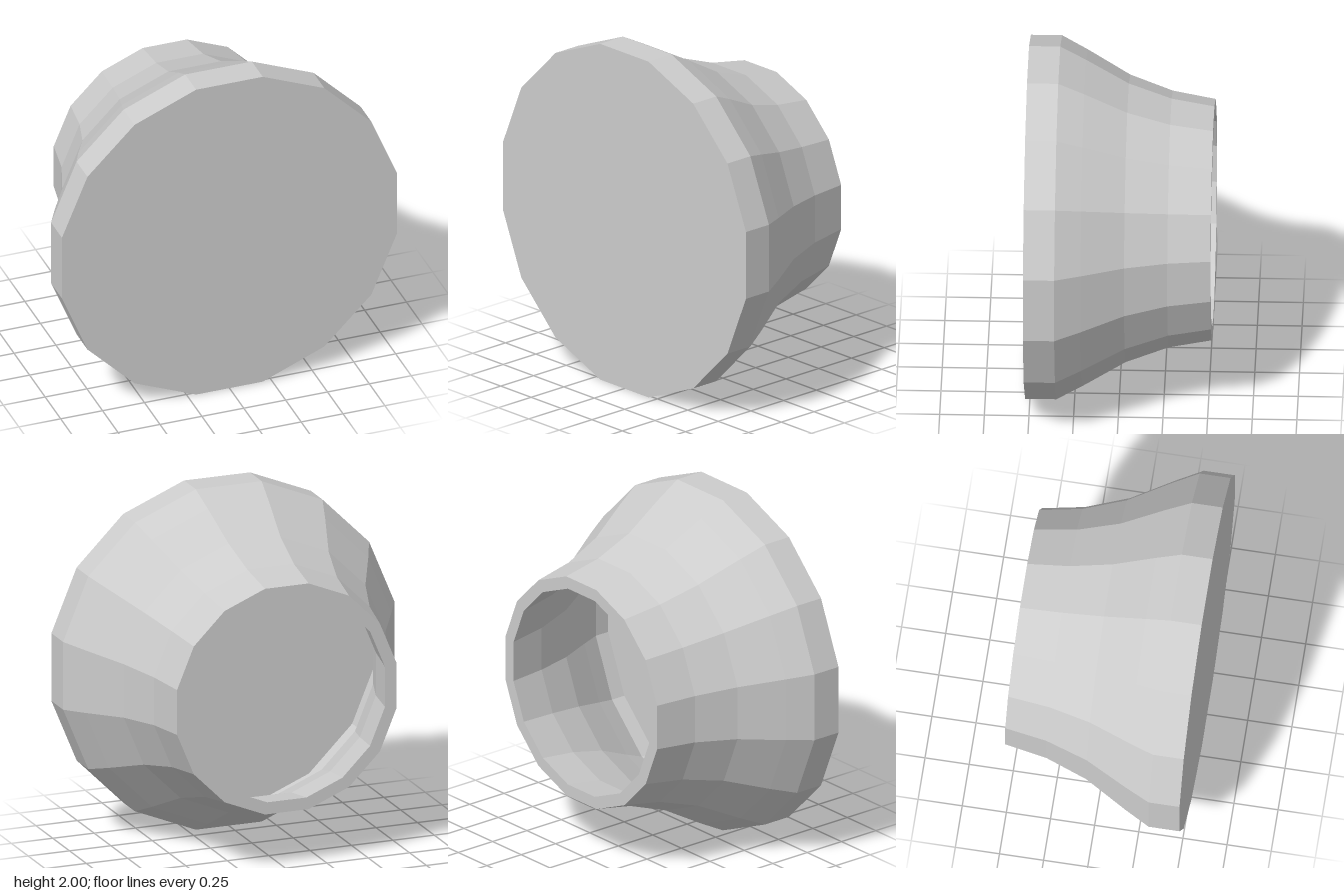
import * as THREE from 'three';

const SIDES = 16;
const FLAT = Math.cos(Math.PI / SIDES); // flat-to-flat radius / corner radius

export function createModel() {
  const model = new THREE.Group();
  model.name = 'flaredCup';
  const grey = new THREE.MeshStandardMaterial({ color: 0xcccccc });
  grey.name = 'lightGrey';

  // Faceted ring surface from [radius to the flats, z] pairs, turned to face +z
  function ring(name, profile) {
    const points = profile.map(([r, z]) => new THREE.Vector2(r / FLAT, z));
    const geometry = new THREE.LatheGeometry(points, SIDES, Math.PI / SIDES)
      .rotateX(Math.PI / 2)
      .toNonIndexed();
    geometry.computeVertexNormals();
    const mesh = new THREE.Mesh(geometry, grey);
    mesh.name = name;
    mesh.position.y = 1;
    model.add(mesh);
  }

  // Flared outside, from the narrow back opening to the wide front band
  const outer = [[0.663, -0.52], [0.705, -0.28], [0.79, -0.04], [0.925, 0.2], [1, 0.345], [1, 0.52]];
  // Hollow inside, from the floor back to the opening
  const inner = [[0.93, 0.45], [0.93, 0.36], [0.855, 0.215], [0.72, -0.03], [0.635, -0.28], [0.593, -0.52]];

  ring('outerShell', outer);
  ring('frontPlate', [[1, 0.52], [0, 0.52]]);
  ring('innerFloor', [[0, 0.45], [0.93, 0.45]]);
  ring('innerWall', inner);
  ring('backRim', [[0.593, -0.52], [0.663, -0.52]]);

  return model;
}
